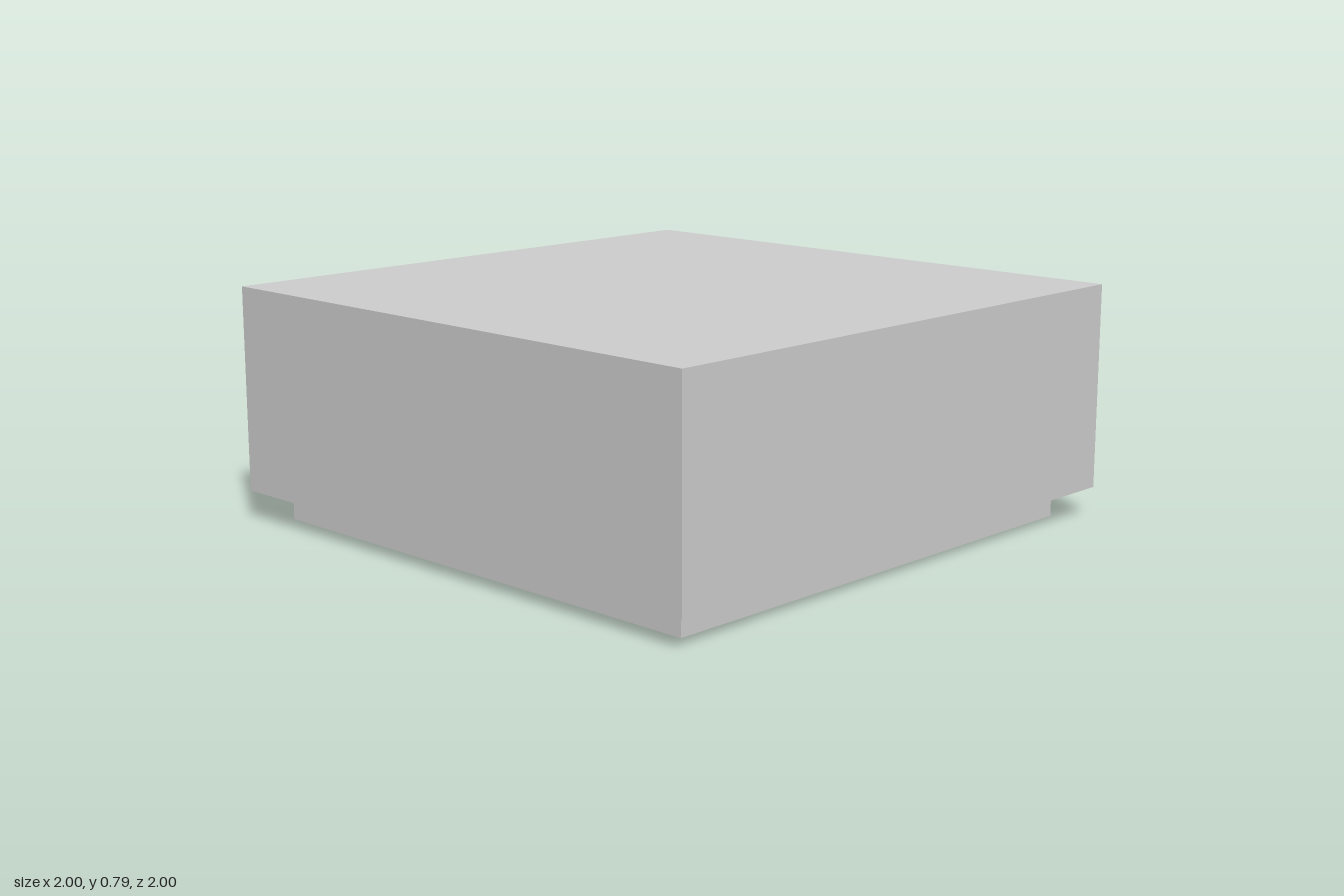
import * as THREE from 'three';

// Square solid of revolution: profile points are [half width, height]
function squareTurned(name, profile, material) {
  const points = profile.map(([half, y]) => new THREE.Vector2(half * Math.SQRT2, y));
  const geometry = new THREE.LatheGeometry(points, 4, Math.PI / 4).toNonIndexed();
  geometry.computeVertexNormals(); // crisp flat faces
  const mesh = new THREE.Mesh(geometry, material);
  mesh.name = name;
  return mesh;
}

export function createModel() {
  const group = new THREE.Group();
  group.name = 'block';
  const grey = new THREE.MeshStandardMaterial({ color: 0xcccccc });
  grey.name = 'light grey';

  const top = 0.79, footTop = 0.1, recessTop = 0.395;
  const bodyHalf = 1, footHalf = 0.9, recessHalf = 0.6;

  // Square pocket open at the underside
  group.add(squareTurned('recess', [[0, recessTop], [recessHalf, recessTop], [recessHalf, 0]], grey));
  // Inset foot around the pocket
  group.add(squareTurned('foot', [[recessHalf, 0], [footHalf, 0], [footHalf, footTop]], grey));
  // Main block with its overhang and flat top
  group.add(squareTurned('body', [[footHalf, footTop], [bodyHalf, footTop], [bodyHalf, top], [0, top]], grey));

  return group;
}
